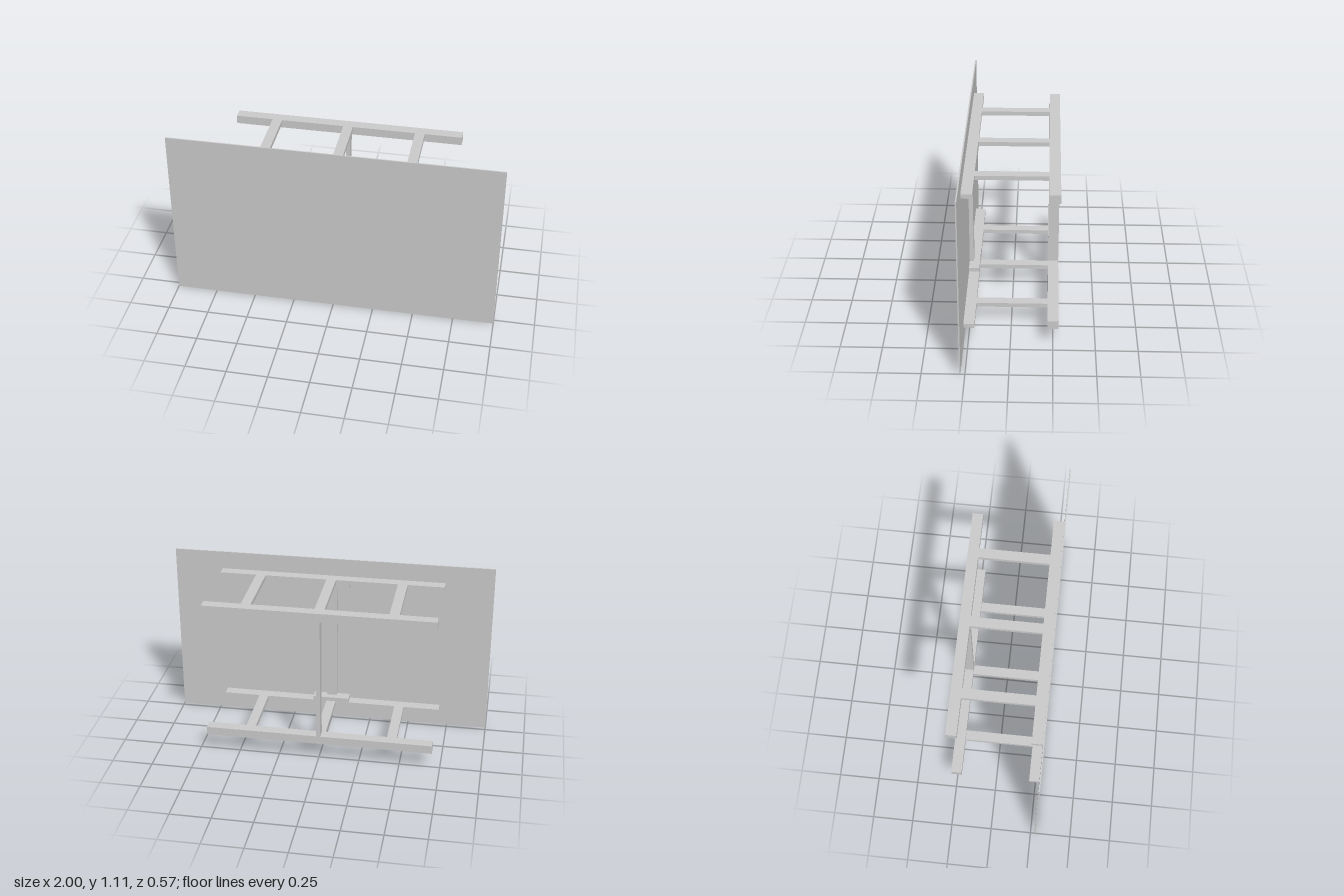
import * as THREE from 'three';

const material = new THREE.MeshStandardMaterial({ color: 0xcccccc, flatShading: true });

// Box given by its extents along each axis
function bar(parent, name, [x0, x1], [y0, y1], [z0, z1]) {
  const mesh = new THREE.Mesh(new THREE.BoxGeometry(x1 - x0, y1 - y0, z1 - z0), material);
  mesh.name = name;
  mesh.position.set((x0 + x1) / 2, (y0 + y1) / 2, (z0 + z1) / 2);
  parent.add(mesh);
}

export function createModel() {
  const model = new THREE.Group();
  model.name = 'panelOnFrame';

  const frontZ = [0.21, 0.275];
  const backZ = [-0.283, -0.218];
  const span = [-0.7, 0.7];

  // Thin upright panel
  bar(model, 'frontPanel', [-1, 1], [0, 1.112], [0.275, 0.283]);

  // Upper and lower ladder frames, mirrored about mid height
  const midY = 0.5575;
  for (const side of [-1, 1]) {
    const frame = new THREE.Group();
    frame.name = side > 0 ? 'upperFrame' : 'lowerFrame';
    model.add(frame);
    // Height range measured outward from mid height
    const level = (a, b) => (side > 0 ? [midY + a, midY + b] : [midY - b, midY - a]);

    bar(frame, 'backRail', span, level(0.39, 0.4425), backZ);
    bar(frame, 'frontRail', span, level(0.416, 0.4425), frontZ);
    bar(frame, 'postBlock', [-0.115, 0.115], level(0.39, 0.416), frontZ);
    for (const x of [-0.443, 0, 0.443]) {
      bar(frame, 'crossBar', [x - 0.03, x + 0.03], level(0.416, 0.4425), [backZ[1], frontZ[0]]);
    }
  }

  // Posts joining the two frames
  const postY = [midY - 0.39, midY + 0.39];
  bar(model, 'frontPost', [-0.0325, 0.0325], postY, [0.2485, 0.275]);
  bar(model, 'backPost', [-0.0125, 0.0125], postY, backZ);

  return model;
}
